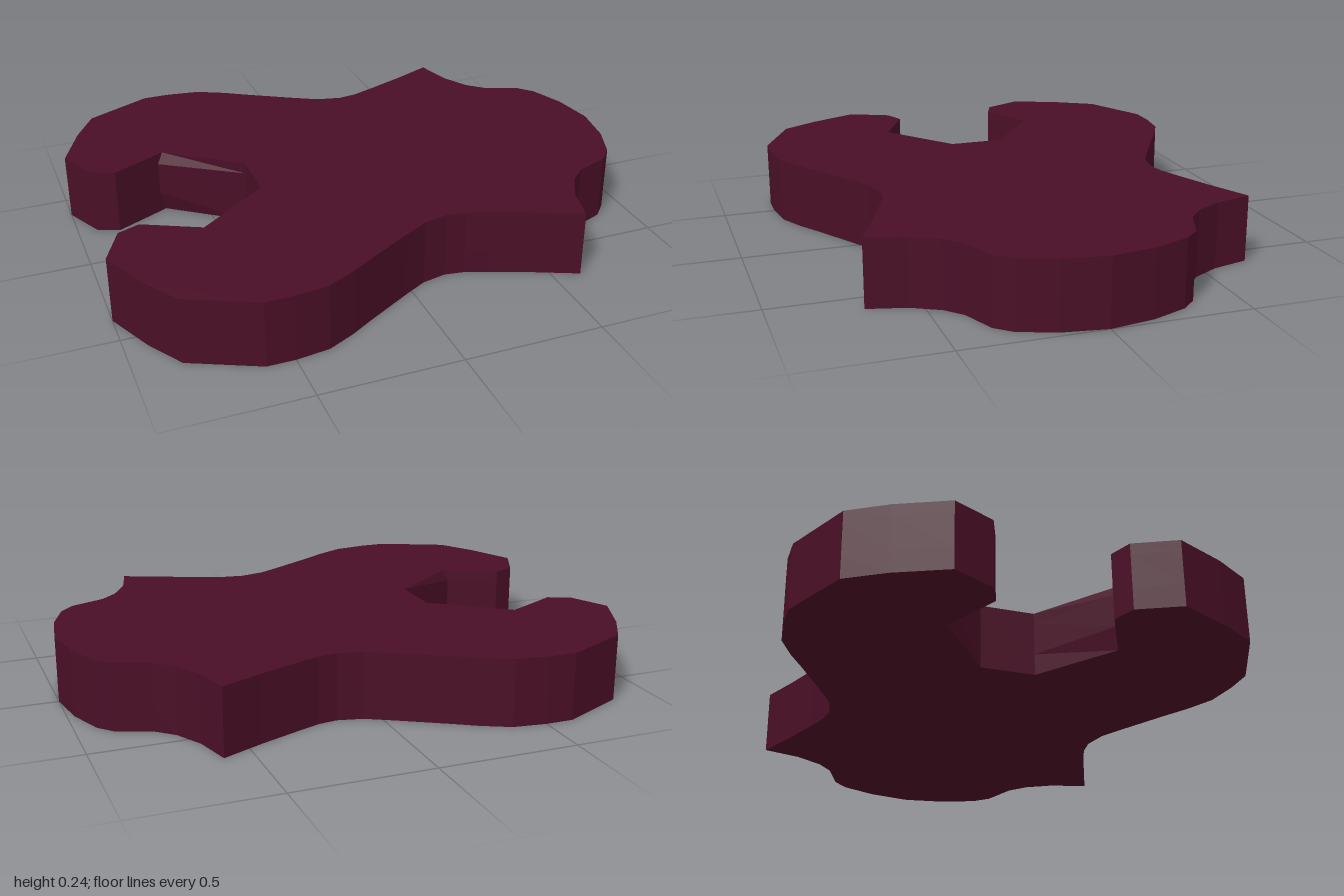
import * as THREE from 'three';

const HEIGHT = 0.242;

// Half outline from the nose round to the back of the jaw: [x, distance from centre line]
const HALF = [
  [1, 0], [0.975, 0.16], [0.925, 0.29], [0.875, 0.345], [0.75, 0.395], [0.69, 0.45],
  [0.635, 0.55], [0.6, 0.687], [0.45, 0.62], [0.3, 0.56], [0.22, 0.53], [0.15, 0.52],
  [0.06, 0.54], [-0.03, 0.59], [-0.2, 0.69], [-0.28, 0.74], [-0.38, 0.79], [-0.5, 0.806],
  [-0.6, 0.806], [-0.84, 0.692], [-0.92, 0.56], [-1, 0.38], [-0.93, 0.232], [-0.85, 0.2],
  [-0.65, 0.3], [-0.385, 0.1],
];
const JAW_CORNER = HALF[24];

export function createModel() {
  const group = new THREE.Group();
  group.name = 'wrenchHead';

  // Mirror the half outline and extrude it upwards in three rows
  const mirrored = HALF.slice(1).reverse().map(([x, z]) => [x, -z]);
  const points = [...HALF, ...mirrored].map(([x, y]) => new THREE.Vector2(x, y));
  const geometry = new THREE.ExtrudeGeometry(new THREE.Shape(points), {
    depth: HEIGHT, steps: 3, bevelEnabled: false,
  });
  geometry.rotateX(-Math.PI / 2);

  // Space the middle rows and swell the jaw's inner corners a little there
  const p = geometry.attributes.position;
  for (let i = 0; i < p.count; i++) {
    const x = p.getX(i), y = p.getY(i), z = p.getZ(i);
    if (y < 0.01 || y > HEIGHT - 0.01) continue;
    p.setY(i, y < HEIGHT / 2 ? 0.08 : 0.2);
    if (Math.hypot(x - JAW_CORNER[0], Math.abs(z) - JAW_CORNER[1]) < 0.01) {
      p.setX(i, x - 0.02);
      p.setZ(i, z - Math.sign(z) * 0.01);
    }
  }
  geometry.computeVertexNormals();

  const material = new THREE.MeshStandardMaterial({ color: 0x4a0f26, flatShading: true });
  const head = new THREE.Mesh(geometry, material);
  head.name = 'openJawPlate';
  group.add(head);
  return group;
}
